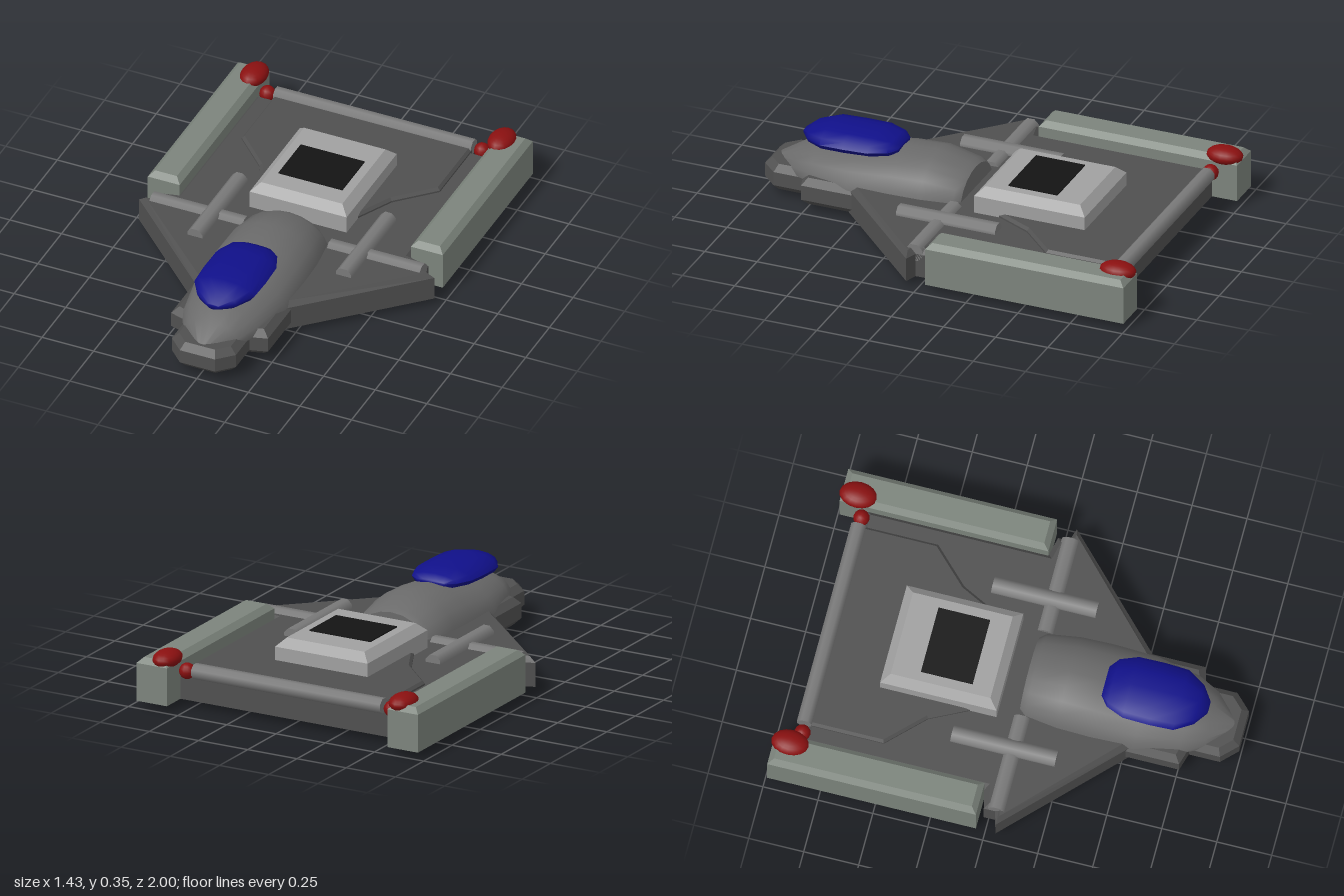
import * as THREE from 'three';
import { toCreasedNormals } from 'three/addons/utils/BufferGeometryUtils.js';

const paint = (color) => new THREE.MeshStandardMaterial({ color, side: THREE.DoubleSide });
const mats = {
  hull: paint(0x505050), body: paint(0x6a6a6a), pod: paint(0x7c847c),
  bar: paint(0x7a7a7a), housing: paint(0xa0a0a0), black: paint(0x141414),
  glass: paint(0x10108a), lamp: paint(0x8a1010),
};

// Outline in x/z (right half mirrored when needed) extruded upward
function plate(points, y, depth, bevel = 0) {
  const shape = new THREE.Shape(points.map(([x, z]) => new THREE.Vector2(x, -z)));
  const geo = new THREE.ExtrudeGeometry(shape, {
    depth, bevelEnabled: bevel > 0, bevelThickness: bevel, bevelSize: bevel,
    bevelOffset: -bevel, bevelSegments: 1,
  });
  return geo.rotateX(-Math.PI / 2).translate(0, y, 0);
}

const mirrored = (half) => [...half, ...half.map(([x, z]) => [-x, z]).reverse()];
const rect = (x0, x1, z0, z1) => [[x0, z1], [x1, z1], [x1, z0], [x0, z0]];

// Skin over closed rings ordered along +z, each counterclockwise seen from +z
function loft(rings, crease = 0.9) {
  const n = rings[0].length, last = (rings.length - 1) * n, index = [];
  for (let i = 0; i < rings.length - 1; i++) {
    for (let j = 0; j < n; j++) {
      const a = i * n + j, b = i * n + (j + 1) % n;
      index.push(a, b, a + n, b, b + n, a + n);
    }
  }
  for (let j = 1; j < n - 1; j++) index.push(0, j + 1, j, last, last + j, last + j + 1);
  const geo = new THREE.BufferGeometry();
  geo.setAttribute('position', new THREE.Float32BufferAttribute(rings.flat(2), 3));
  geo.setIndex(index);
  return toCreasedNormals(geo, crease);
}

// Elliptical ring: half width w, middle height y, reach up and down
function ring(z, w, y, up, down, n = 16) {
  return Array.from({ length: n }, (_, i) => {
    const a = (i / n) * Math.PI * 2, s = Math.sin(a);
    return [w * Math.cos(a), y + s * (s > 0 ? up : down), z];
  });
}

export function createModel() {
  const group = new THREE.Group();
  const add = (name, geo, mat) => {
    const mesh = new THREE.Mesh(geo, mat);
    mesh.name = name;
    group.add(mesh);
    return mesh;
  };
  // Straight-sided slab with a chamfered upper edge
  const slab = (name, points, y0, y1, bevel, mat) => {
    add(name, plate(points, y0, y1 - bevel - y0), mat);
    add(name + 'Chamfer', plate(points, y1 - bevel, 0.001, bevel), mat);
  };

  // Delta hull and raised rear deck
  slab('hull', mirrored([
    [0.57, -0.87], [0.57, -0.04], [0.655, -0.02], [0.655, 0.03], [0.715, 0.05], [0.2, 0.55],
  ]), 0.03, 0.165, 0.025, mats.hull);
  slab('rearDeck', mirrored([
    [0.48, -0.86], [0.48, -0.52], [0.32, -0.36], [0.22, -0.16],
  ]), 0.14, 0.185, 0.012, mats.hull);

  // Shoulder block and nose block
  add('shoulder', plate(mirrored([[0.235, 0.35], [0.235, 0.76], [0.15, 0.785]]), 0.06, 0.07, 0.03), mats.hull);
  add('nose', plate(mirrored([[0.155, 0.7], [0.155, 0.925], [0.085, 0.995]]), 0.06, 0.065, 0.03), mats.hull);

  // Upper fuselage, belly fairing and canopy: [z, half width, middle, up, down]
  const fuselage = [
    [0.02, 0.18, 0.13, 0.135, 0.03], [0.05, 0.205, 0.13, 0.15, 0.03], [0.2, 0.225, 0.13, 0.185, 0.03],
    [0.35, 0.23, 0.13, 0.175, 0.03], [0.55, 0.225, 0.13, 0.145, 0.03], [0.75, 0.185, 0.13, 0.12, 0.03],
    [0.85, 0.135, 0.125, 0.09, 0.03], [0.96, 0.03, 0.12, 0.03, 0.02],
  ];
  add('fuselage', loft(fuselage.map((s) => ring(...s, 20))), mats.body);
  const belly = [
    [-0.02, 0.02, 0.035, 0.01, 0.005], [0.12, 0.1, 0.035, 0.01, 0.02], [0.3, 0.145, 0.035, 0.01, 0.03],
    [0.5, 0.15, 0.035, 0.01, 0.035], [0.7, 0.11, 0.035, 0.01, 0.02], [0.86, 0.02, 0.035, 0.01, 0.005],
  ];
  add('belly', loft(belly.map((s) => ring(...s))), mats.hull);
  const canopy = [
    [0.365, 0.07, 0.305, 0.008, 0.025], [0.4, 0.115, 0.305, 0.03, 0.04], [0.48, 0.147, 0.303, 0.047, 0.045],
    [0.6, 0.15, 0.3, 0.05, 0.05], [0.71, 0.145, 0.297, 0.052, 0.05], [0.79, 0.095, 0.293, 0.035, 0.045],
    [0.835, 0.03, 0.288, 0.006, 0.02],
  ];
  add('canopy', loft(canopy.map((s) => ring(...s, 12)), 1.2), mats.glass);

  // Engine housing with dark intake panel
  slab('engineHousing', rect(-0.235, 0.235, -0.6, -0.07), 0.15, 0.285, 0.038, mats.housing);
  add('intakePanel', plate(rect(-0.155, 0.155, -0.435, -0.2), 0.27, 0.021), mats.black);

  // Rounded bar across the stern
  add('rearBar', new THREE.CylinderGeometry(0.036, 0.036, 0.96, 8)
    .rotateY(Math.PI / 8).rotateZ(Math.PI / 2).translate(0, 0.177, -0.882), mats.bar);

  for (const [side, s] of [['left', 1], ['right', -1]]) {
    // Side pod
    const pod = s > 0 ? rect(0.56, 0.715, -0.99, -0.04) : rect(-0.715, -0.56, -0.99, -0.04);
    slab(side + 'Pod', pod, 0.03, 0.23, 0.025, mats.pod);

    // Cross brace and gun tube on the wing
    add(side + 'Brace', new THREE.CylinderGeometry(0.043, 0.043, 0.45, 8)
      .rotateY(Math.PI / 8).rotateZ(Math.PI / 2).translate(s * 0.43, 0.145, 0.038), mats.bar);
    add(side + 'Gun', new THREE.CylinderGeometry(0.04, 0.04, 0.475, 8)
      .rotateY(Math.PI / 8).rotateX(Math.PI / 2).translate(s * 0.36, 0.166, -0.002), mats.bar);

    // Large and small stern lamps
    const lamp = add(side + 'Lamp', new THREE.SphereGeometry(1, 16, 12), mats.lamp);
    lamp.scale.set(0.06, 0.04, 0.085);
    lamp.position.set(s * 0.6, 0.227, -0.915);
    const small = add(side + 'SmallLamp', new THREE.SphereGeometry(0.037, 12, 8), mats.lamp);
    small.position.set(s * 0.52, 0.17, -0.88);
  }
  return group;
}
